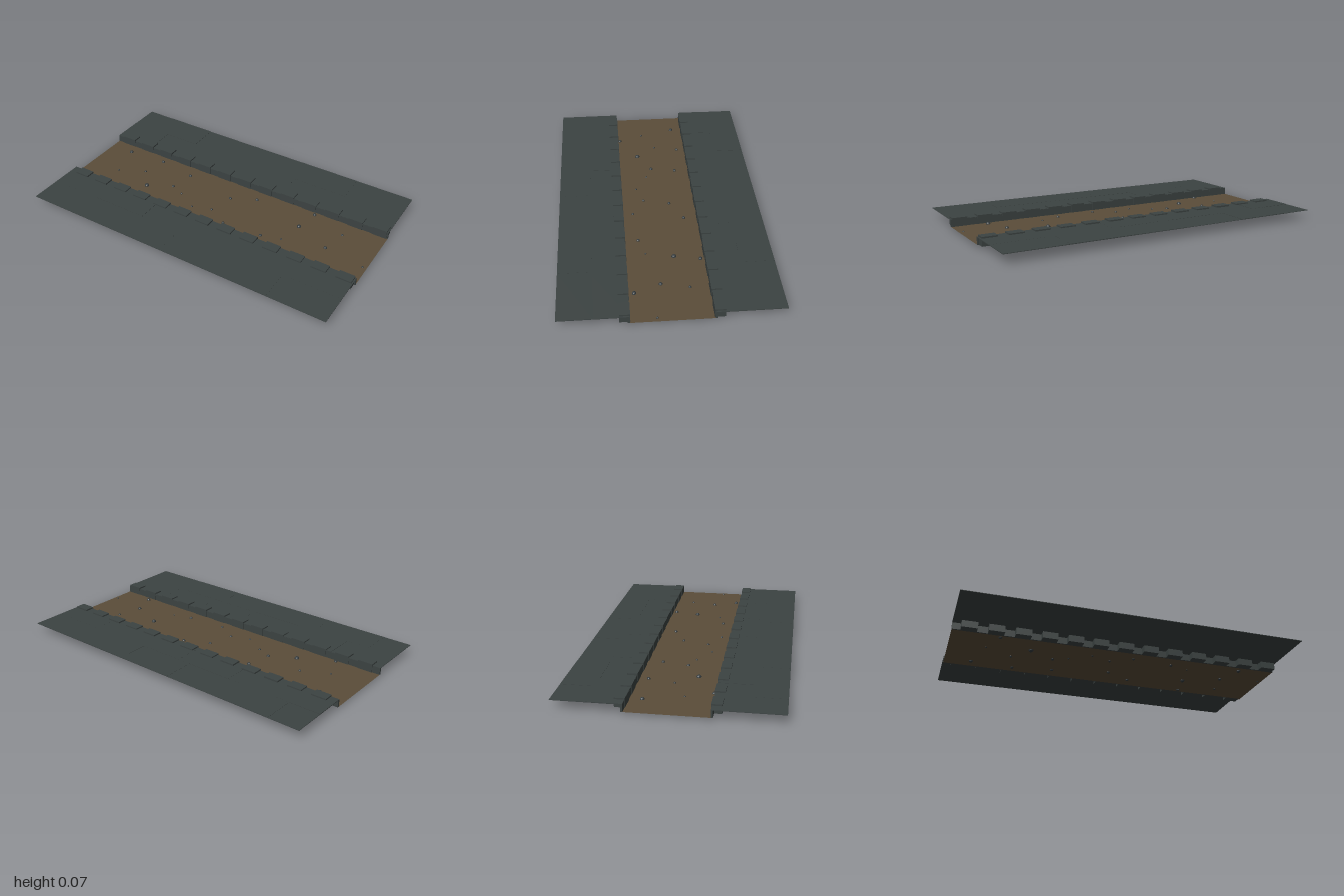
import * as THREE from 'three';

const stone = new THREE.MeshStandardMaterial({ color: 0x3c4342 });
stone.name = 'slate stone';
stone.flatShading = true;
const earth = new THREE.MeshStandardMaterial({ color: 0x5b4d39, side: THREE.DoubleSide });
earth.name = 'packed earth';
const pebbleGrey = new THREE.MeshStandardMaterial({ color: 0x343b3e });
pebbleGrey.name = 'pebble grey';
pebbleGrey.flatShading = true;

// Seeded random numbers in 0..1
let seed = 7;
const rand = () => (seed = (seed * 16807) % 2147483647) / 2147483647;

// Box given by its lowest and highest corners
function block(name, x0, x1, y0, y1, z0, z1) {
  const mesh = new THREE.Mesh(new THREE.BoxGeometry(x1 - x0, y1 - y0, z1 - z0), stone);
  mesh.name = name;
  mesh.position.set((x0 + x1) / 2, (y0 + y1) / 2, (z0 + z1) / 2);
  return mesh;
}

// Paving: rows of thin slabs in running bond, each at a slightly different height
function pavement(side) {
  const group = new THREE.Group();
  group.name = side > 0 ? 'frontPavement' : 'backPavement';
  const rows = [0.225, 0.415, 0.607];
  for (let r = 0; r < 2; r++) {
    let x = -1;
    let first = true;
    while (x < 0.999) {
      let length = 0.28 + rand() * 0.12;
      if (first && r === 1) length *= 0.5;
      first = false;
      let end = x + length;
      if (end > 0.85) end = 1;
      const top = 0.0575 + rand() * 0.0025;
      const z = [side * rows[r], side * rows[r + 1]];
      group.add(block('pavingSlab', x, end, 0.0555, top, Math.min(...z), Math.max(...z)));
      x = end;
    }
  }
  return group;
}

// Kerb: tall blocks with a lower, thinner lining between them
function kerb(side) {
  const group = new THREE.Group();
  group.name = side > 0 ? 'frontKerb' : 'backKerb';
  const add = (name, x0, x1, y0, y1, za, zb) =>
    group.add(block(name, x0, x1, y0, y1, Math.min(side * za, side * zb), Math.max(side * za, side * zb)));
  let last = -1;
  for (let i = 0; i < 13; i++) {
    const c = -0.905 + i * 0.1542;
    const x0 = c - 0.046, x1 = c + 0.046;
    add('kerbLining', last, x0, 0.015, 0.057, 0.224, 0.236);
    add('kerbBlock', x0, x1, 0.015, 0.066 + rand() * 0.002, 0.22 + rand() * 0.002, 0.28);
    last = x1;
  }
  add('kerbLining', last, 1, 0.015, 0.057, 0.224, 0.236);
  return group;
}

export function createModel() {
  const model = new THREE.Group();
  model.name = 'sunkenRoad';

  // Earth road bed
  const road = new THREE.Mesh(new THREE.PlaneGeometry(2, 0.456), earth);
  road.name = 'roadBed';
  road.rotation.x = -Math.PI / 2;
  road.position.y = 0.0145;
  model.add(road);

  for (const side of [-1, 1]) model.add(pavement(side), kerb(side));

  // Pebbles half buried in the road: x, z, radius
  const pebbles = [
    [-0.84, -0.155, 0.012], [-0.585, -0.172, 0.011], [-0.62, -0.02, 0.008], [-0.37, 0.018, 0.01],
    [-0.34, -0.135, 0.01], [-0.52, 0.1, 0.014], [-0.72, 0.21, 0.01], [-0.28, 0.055, 0.007],
    [-0.15, 0.13, 0.007], [0.01, -0.068, 0.01], [-0.03, 0.09, 0.008], [0.1, 0.163, 0.009],
    [0.16, -0.143, 0.011], [0.35, 0.145, 0.01], [0.47, 0.11, 0.006], [0.505, -0.05, 0.014],
    [0.535, -0.2, 0.012], [0.76, -0.115, 0.008], [0.725, 0.043, 0.011], [0.785, 0.192, 0.013],
    [0.975, 0.08, 0.007], [-0.78, 0.06, 0.006],
  ];
  const pebbleGroup = new THREE.Group();
  pebbleGroup.name = 'pebbles';
  const rock = new THREE.IcosahedronGeometry(1, 1);
  for (const [x, z, r] of pebbles) {
    const pebble = new THREE.Mesh(rock, pebbleGrey);
    pebble.name = 'pebble';
    pebble.position.set(x, 0.0145, z);
    pebble.scale.set(r, Math.min(r * 1.02, 0.0145), r * (0.9 + rand() * 0.3));
    pebble.rotation.y = rand() * Math.PI;
    pebbleGroup.add(pebble);
  }
  model.add(pebbleGroup);
  return model;
}
